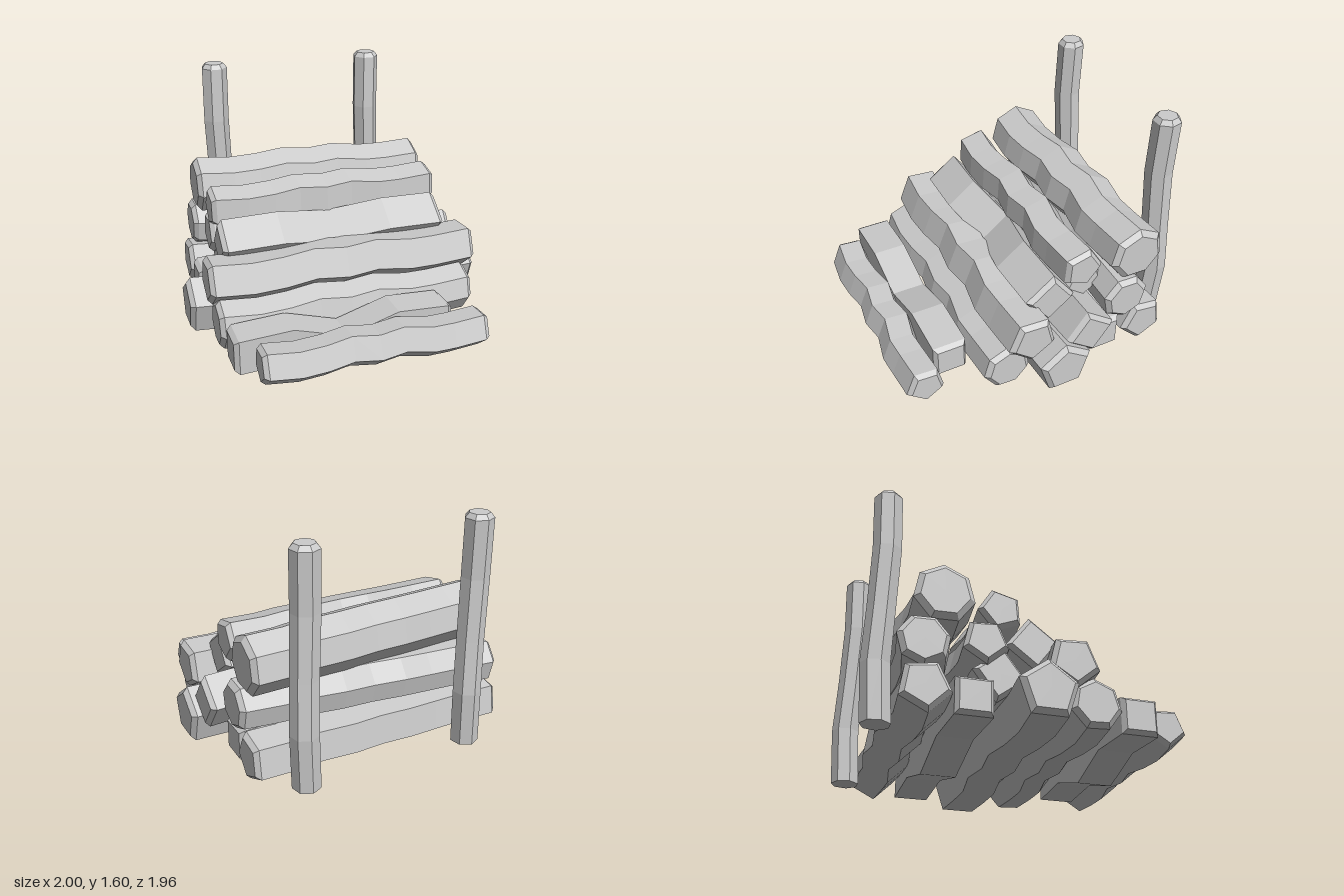
import * as THREE from 'three';

// Faceted log lofted along x. Each ring: [x, y, z, radius]
function loft(rings, sides, degrees) {
  const pts = rings.map(([x, y, z, r]) => Array.from({ length: sides }, (_, j) => {
    const a = THREE.MathUtils.degToRad(degrees) + (j / sides) * Math.PI * 2;
    return [x, y + r * Math.sin(a), z - r * Math.cos(a)];
  }));
  const out = [];
  const tri = (a, b, c) => out.push(...a, ...b, ...c);
  const last = rings.length - 1;
  for (let j = 0; j < sides; j++) {
    const k = (j + 1) % sides;
    for (let i = 0; i < last; i++) {
      tri(pts[i][j], pts[i][k], pts[i + 1][k]);
      tri(pts[i][j], pts[i + 1][k], pts[i + 1][j]);
    }
    tri(rings[last].slice(0, 3), pts[last][j], pts[last][k]);
    tri(rings[0].slice(0, 3), pts[0][k], pts[0][j]);
  }
  const geo = new THREE.BufferGeometry();
  geo.setAttribute('position', new THREE.Float32BufferAttribute(out, 3));
  geo.computeVertexNormals();
  return geo;
}

// Bends along a log as [t, dy, dz], t from -1 to 1
const ROUND_BENDS = [[-1, 0, 0], [-0.72, -0.01, 0.02], [-0.48, -0.005, 0.01], [-0.24, 0.01, -0.015],
  [0, 0, 0.01], [0.24, 0.01, -0.015], [0.5, -0.005, 0.02], [0.7, -0.01, 0.01], [1, 0, 0]];
const sagBends = (dy, dz) => [[-1, 0, 0], [-0.5, -0.22 * dy, -0.22 * dz], [0, dy, dz],
  [0.5, -0.22 * dy, -0.22 * dz], [1, 0, 0]];

// Log from x0 to x1 with bevelled ends; tilt moves the x0 end by [dy, dz]
function logGeometry({ x0, x1, y, z, r, sides, turn, sag, tilt = [0, 0] }) {
  const bevel = 0.03, mid = (x0 + x1) / 2, half = (x1 - x0) / 2 - bevel;
  const rings = (sag ? sagBends(...sag) : ROUND_BENDS).map(([t, dy, dz]) => {
    const s = (1 - t) / 2;
    return [mid + t * half, y + dy + s * tilt[0], z + dz + s * tilt[1], r];
  });
  const a = rings[0], b = rings[rings.length - 1];
  rings.unshift([x0, a[1], a[2], r * 0.8]);
  rings.push([x1, b[1], b[2], r * 0.8]);
  return loft(rings, sides, turn);
}

const LOGS = [
  // bottom layer, front to back
  { x0: -0.73, x1: 0.72, y: 0.205, z: 0.84, r: 0.13, sides: 5, turn: 194 },
  { x0: -0.85, x1: 0.57, y: 0.2, z: 0.61, r: 0.158, sides: 4, turn: 45, sag: [-0.085, 0] },
  { x0: -0.875, x1: 0.835, y: 0.235, z: 0.335, r: 0.16, sides: 7, turn: 87 },
  { x0: -1, x1: 1, y: 0.235, z: 0.01, r: 0.185, sides: 5, turn: 90 },
  { x0: -0.86, x1: 0.82, y: 0.2, z: -0.375, r: 0.158, sides: 4, turn: 45, sag: [-0.085, 0] },
  { x0: -0.87, x1: 0.85, y: 0.23, z: -0.655, r: 0.16, sides: 5, turn: 117 },
  // second layer
  { x0: -0.9, x1: 0.91, y: 0.475, z: 0.2, r: 0.165, sides: 5, turn: 122 },
  { x0: -0.74, x1: 0.94, y: 0.4, z: -0.19, r: 0.17, sides: 4, turn: 98, sag: [-0.05, -0.065] },
  { x0: -0.83, x1: 0.87, y: 0.51, z: -0.49, r: 0.16, sides: 7, turn: 62, tilt: [0.01, -0.17] },
  { x0: -0.78, x1: 0.67, y: 0.59, z: -0.29, r: 0.145, sides: 5, turn: 121 },
  // top layers
  { x0: -0.77, x1: 0.76, y: 0.61, z: 0, r: 0.172, sides: 4, turn: 82, sag: [-0.055, -0.06] },
  { x0: -0.78, x1: 0.79, y: 0.8, z: -0.2, r: 0.14, sides: 5, turn: 68 },
  { x0: -0.81, x1: 0.83, y: 0.805, z: -0.575, r: 0.188, sides: 7, turn: 88, tilt: [0.04, 0.03] },
];

// Upright post profile: height, sideways shift, depth, radius
const POST = [[0.08, 0, -0.865, 0.09], [0.45, -0.02, -0.883, 0.09], [0.8, -0.01, -0.868, 0.088],
  [1.2, 0.005, -0.855, 0.09], [1.57, 0, -0.865, 0.09], [1.6, 0, -0.865, 0.065]];

export function createModel() {
  const model = new THREE.Group();
  model.name = 'logPile';
  const wood = new THREE.MeshStandardMaterial({ color: 0xcccccc, flatShading: true });

  // Stacked logs
  const stack = new THREE.Group();
  stack.name = 'stackedLogs';
  LOGS.forEach((spec, i) => {
    const log = new THREE.Mesh(logGeometry(spec), wood);
    log.name = `log${i + 1}`;
    stack.add(log);
  });
  model.add(stack);

  // Two upright posts behind the stack
  const postGeo = loft(POST, 7, 0).rotateZ(Math.PI / 2);
  for (const [name, x] of [['rightPost', -0.565], ['leftPost', 0.565]]) {
    const post = new THREE.Mesh(postGeo, wood);
    post.name = name;
    post.position.x = x;
    model.add(post);
  }
  return model;
}
